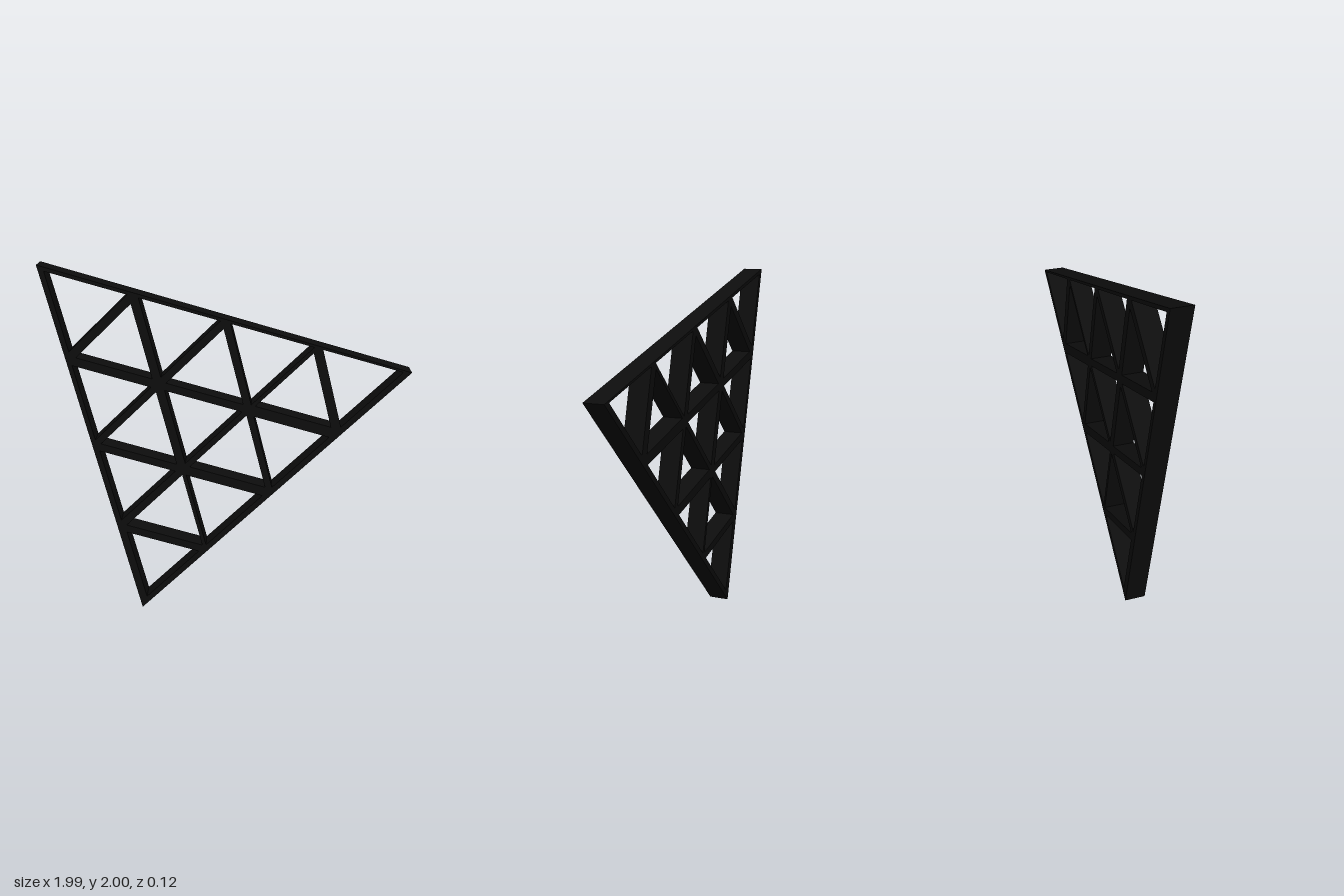
import * as THREE from 'three';

const N = 4;          // cells along each side
const DEPTH = 0.116;
const UNIT = 0.0053;  // scale of the bar widths below

const V = (x, y) => new THREE.Vector2(x, y);

// Corners of the outline and of the lattice centre lines
const outline = [V(-0.993, 2), V(-0.492, 0), V(0.993, 1.432)];
const A = V(-0.98, 1.98), B = V(0.972, 1.432), C = V(-0.486, 0.024);

// Bar widths per segment, for the three bar directions
const across = [[2, 2, 2, 2], [9, 8, 11], [8, 10], [8]];    // [j][i]
const upright = [[8, 6, 8, 12], [9, 9, 4], [8, 7], [10]];   // [i][j]
const diagonal = [[9, 7, 8, 7], [8, 6, 7], [4, 7], [7]];    // [i][j]

// Lattice node, i steps towards B and j steps towards C
const node = (i, j) => A.clone()
  .addScaledVector(B.clone().sub(A), i / N)
  .addScaledVector(C.clone().sub(A), j / N);

// Triangular opening: each side k (corner k to k + 1) moved in by half its bar width
function opening(corners, widths) {
  const points = corners.map((p, k) => {
    const next = corners[(k + 1) % 3].clone().sub(p).normalize();
    const prev = corners[(k + 2) % 3].clone().sub(p).normalize();
    const s = Math.abs(next.cross(prev));
    return p.clone()
      .addScaledVector(next, widths[(k + 2) % 3] * UNIT / 2 / s)
      .addScaledVector(prev, widths[k] * UNIT / 2 / s);
  });
  return new THREE.Path(points);
}

export function createModel() {
  const group = new THREE.Group();
  group.name = 'triangularLattice';

  const shape = new THREE.Shape(outline);
  for (let i = 0; i < N; i++) {
    for (let j = 0; i + j < N; j++) {
      // cell pointing along the main corner
      shape.holes.push(opening(
        [node(i, j), node(i + 1, j), node(i, j + 1)],
        [across[j][i], diagonal[i][j], upright[i][j]]));
      // reversed cell between its neighbours
      if (i + j < N - 1) {
        shape.holes.push(opening(
          [node(i + 1, j), node(i + 1, j + 1), node(i, j + 1)],
          [upright[i + 1][j], across[j + 1][i], diagonal[i][j]]));
      }
    }
  }

  const geometry = new THREE.ExtrudeGeometry(shape, { depth: DEPTH, bevelEnabled: false });
  geometry.translate(0, 0, -DEPTH / 2);
  const frame = new THREE.Mesh(geometry, new THREE.MeshStandardMaterial({ color: 0x0d0d0d }));
  frame.name = 'latticeFrame';
  group.add(frame);
  return group;
}
